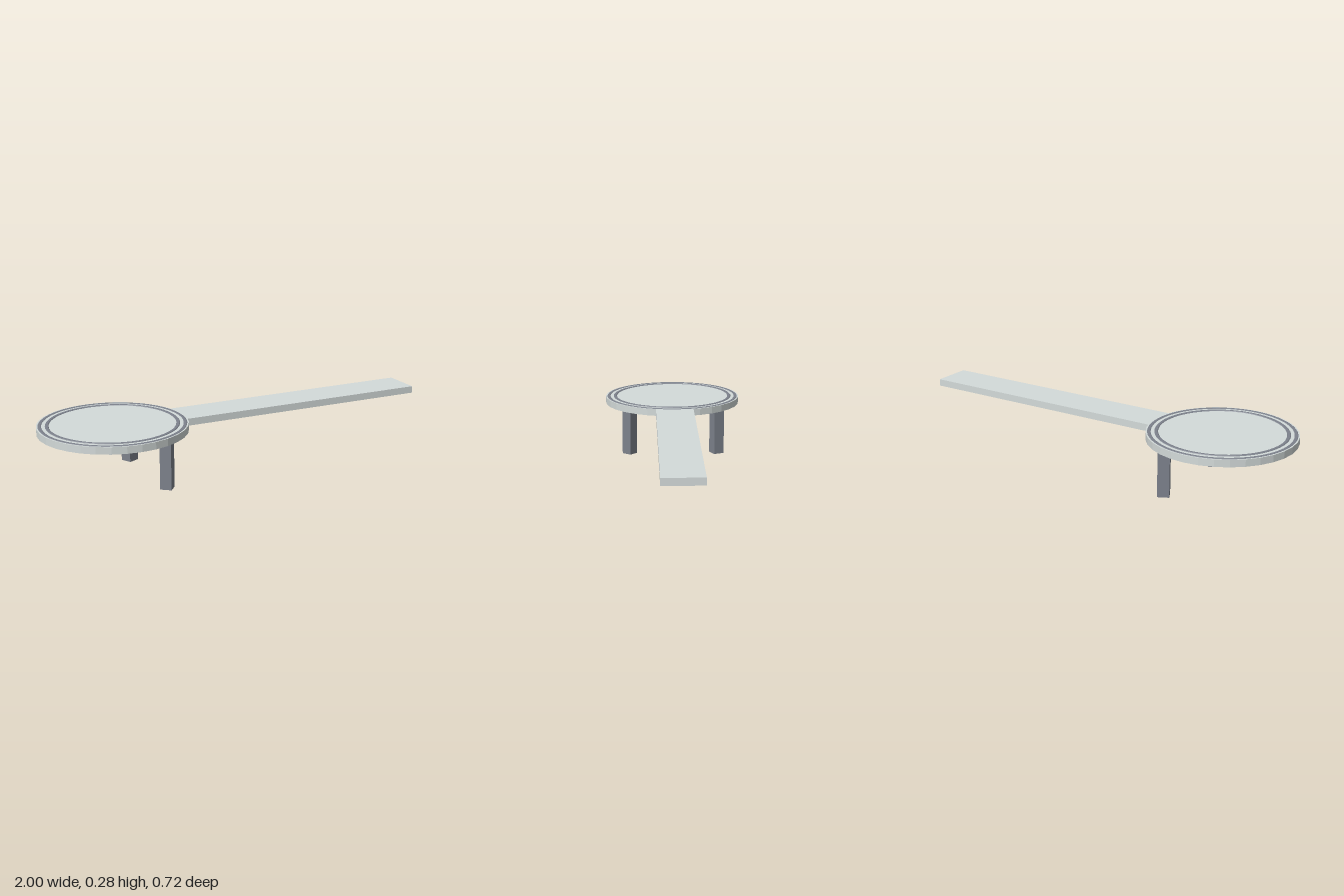
import * as THREE from 'three';

const BASE = 0.243, TOP = 0.278, DISC_X = -0.64;

export function createModel() {
  const model = new THREE.Group();
  const pale = new THREE.MeshStandardMaterial({ color: 0xd4dbda, flatShading: true });
  const slate = new THREE.MeshStandardMaterial({ color: 0x7d828c, flatShading: true });

  const add = (name, geometry, material, x, y, z) => {
    const mesh = new THREE.Mesh(geometry, material);
    mesh.name = name;
    mesh.position.set(x, y, z);
    model.add(mesh);
    return mesh;
  };

  // Round plate and the long flat handle that runs out of it
  const thick = TOP - BASE, midY = (TOP + BASE) / 2;
  add('plate', new THREE.CylinderGeometry(0.36, 0.36, thick, 32), pale, DISC_X, midY, 0);
  add('handle', new THREE.BoxGeometry(1.3, thick, 0.195), pale, 0.35, midY, -0.005);

  // Two thin raised rings with bevelled edges: [name, inner radius, outer radius, height]
  for (const [name, inner, outer, height] of [
    ['outerRing', 0.335, 0.352, 0.002],
    ['innerRing', 0.300, 0.318, 0.003],
  ]) {
    const profile = [
      [outer, -0.004], [outer, 0], [outer - 0.003, height],
      [inner + 0.003, height], [inner, 0], [inner, -0.004],
    ].map(([r, y]) => new THREE.Vector2(r, y));
    add(name, new THREE.LatheGeometry(profile, 64), slate, DISC_X, TOP, 0);
  }

  // Square legs, each turned about its own axis: [name, z, side, turn]
  for (const [name, z, side, turn] of [
    ['frontLeg', 0.231, 0.055, 0.885],
    ['backLeg', -0.2335, 0.057, 0.45],
  ]) {
    const leg = add(name, new THREE.BoxGeometry(side, BASE, side), slate, -0.465, BASE / 2, z);
    leg.rotation.y = turn;
  }

  return model;
}
